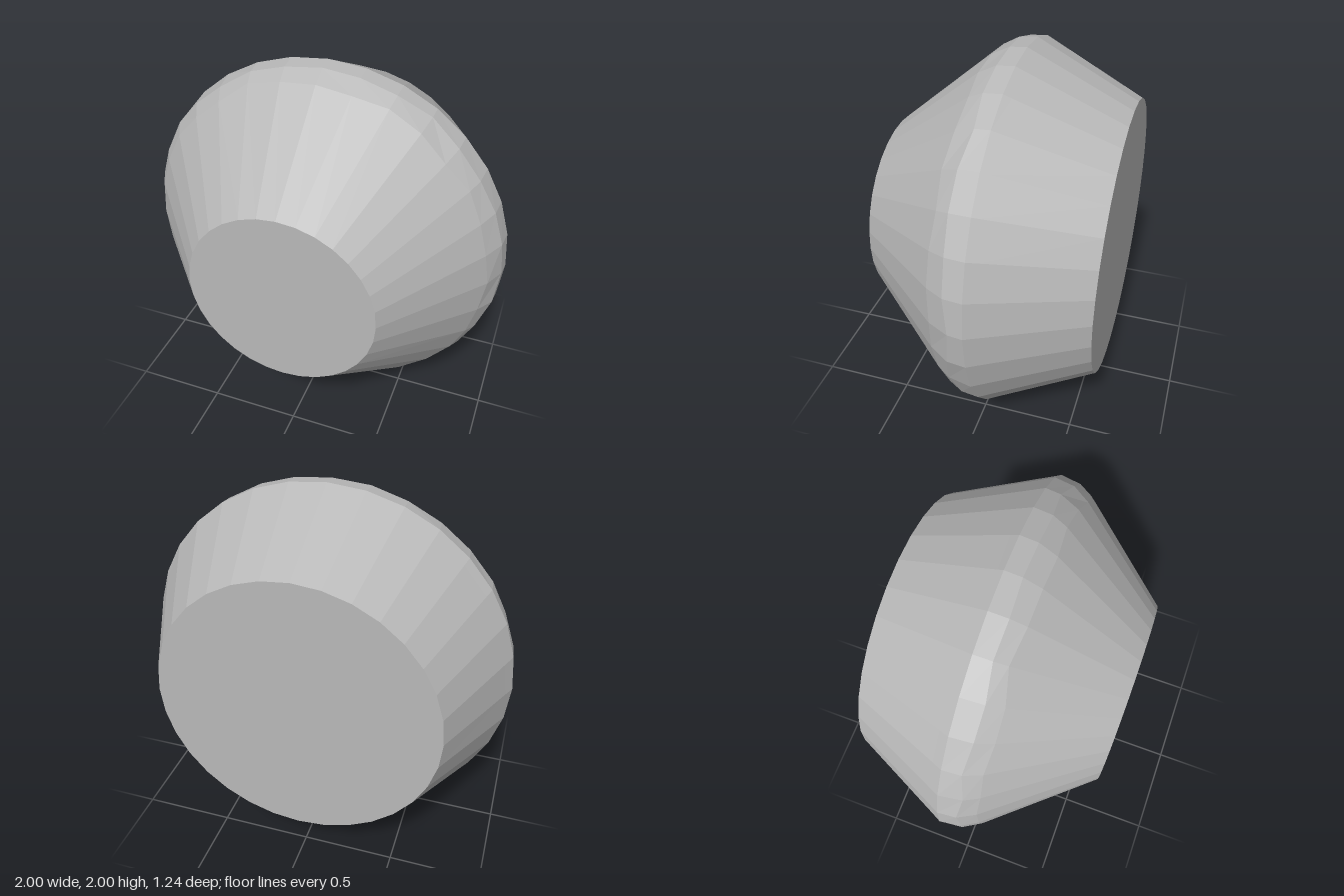
import * as THREE from 'three';

const SIDES = 32;
// Outline as [radius, z], from the wide back end to the narrow front end
const OUTLINE = [[0, -0.62], [0.74, -0.62], [0.975, -0.13], [1, -0.08], [0.99, 0.02], [0.945, 0.1], [0.5, 0.62], [0, 0.62]];

// Outline radius at a given z
function radiusAt(z) {
  for (let k = 1; k < OUTLINE.length - 2; k++) {
    const [r0, z0] = OUTLINE[k], [r1, z1] = OUTLINE[k + 1];
    if (z <= z1) return r0 + (r1 - r0) * (z - z0) / (z1 - z0);
  }
  return 0.5;
}

// Small repeatable wobble in -1..1
function wobble(i, j) {
  const s = Math.sin(i * 12.9898 + j * 78.233) * 43758.5453;
  return (s - Math.floor(s)) * 2 - 1;
}

export function createModel() {
  const group = new THREE.Group();
  group.name = 'facetedKnob';
  const grey = new THREE.MeshStandardMaterial({ color: 0xb8b8b8, flatShading: true });
  grey.name = 'grey';

  const geometry = new THREE.LatheGeometry(OUTLINE.map(([r, z]) => new THREE.Vector2(r, z)), SIDES);
  geometry.rotateX(Math.PI / 2);

  // Slide the rim rings along the outline for uneven hand-cut facets
  const p = geometry.attributes.position;
  for (let i = 0; i <= SIDES; i++) {
    const angle = (i / SIDES) * Math.PI * 2;
    for (const j of [2, 4, 5]) {
      const z = OUTLINE[j][1] + 0.022 * wobble(i % SIDES, j);
      const r = radiusAt(z);
      p.setXYZ(i * OUTLINE.length + j, r * Math.sin(angle), -r * Math.cos(angle), z);
    }
  }
  geometry.computeVertexNormals();

  const body = new THREE.Mesh(geometry, grey);
  body.name = 'body';
  body.position.y = 1;
  group.add(body);
  return group;
}
